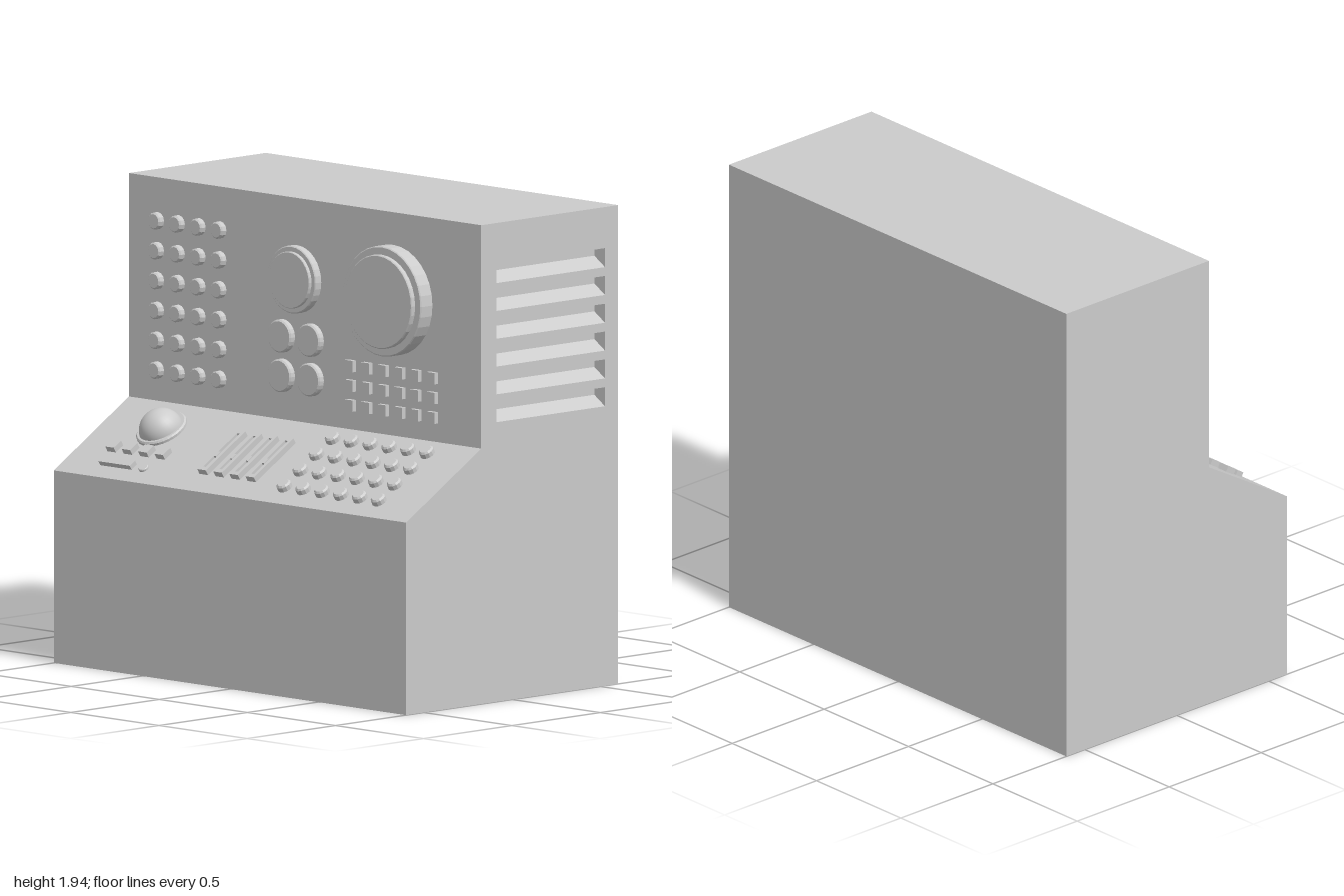
import * as THREE from 'three';
import { mergeGeometries } from 'three/addons/utils/BufferGeometryUtils.js';

const grey = new THREE.MeshStandardMaterial({ color: 0xcccccc, flatShading: true });
const smoothGrey = new THREE.MeshStandardMaterial({ color: 0xcccccc });

// Cabinet side outline as [z, y]
const PROFILE = [[0.6, 0], [0.6, 0.78], [0.175, 1.035], [0.175, 1.94], [-0.6, 1.94], [-0.6, 0]];
const FACE_Z = 0.175;
const SLOPE = Math.atan2(1.035 - 0.78, 0.6 - 0.175);
const deskY = z => 0.78 + (0.6 - z) * Math.tan(SLOPE);

// Flat faces, each a list of corners in counter-clockwise order
function facesGeometry(faces) {
  const pos = [];
  for (const f of faces)
    for (let i = 1; i < f.length - 1; i++) pos.push(...f[0], ...f[i], ...f[i + 1]);
  const g = new THREE.BufferGeometry();
  g.setAttribute('position', new THREE.Float32BufferAttribute(pos, 3));
  g.computeVertexNormals();
  return g;
}

const outline = (points, sign) => points.map(([z, y]) => new THREE.Vector2(sign * z, y));

function cabinetGeometry() {
  const faces = [];
  PROFILE.forEach(([z, y], i) => {
    const [z2, y2] = PROFILE[(i + 1) % PROFILE.length];
    faces.push([[-1, y, z], [1, y, z], [1, y2, z2], [-1, y2, z2]]);
  });

  // Vent slots: sloping floor, short back wall, flat ceiling
  const ventSide = new THREE.Shape(outline(PROFILE, -1));
  const zf = 0.09, zb = -0.525, inX = 0.94;
  for (let i = 0; i < 6; i++) {
    const y0 = 1.133 + i * 0.1127, ym = y0 + 0.04, y1 = y0 + 0.077;
    ventSide.holes.push(new THREE.Path(outline([[zf, y0], [zb, y0], [zb, y1], [zf, y1]], -1)));
    const section = [[1, y0], [inX, ym], [inX, y1], [1, y1]];
    for (let k = 0; k < 3; k++) {
      const a = section[k], b = section[k + 1];
      faces.push([[...a, zf], [...a, zb], [...b, zb], [...b, zf]]);
    }
    faces.push(section.map(p => [...p, zf]), section.map(p => [...p, zb]).reverse());
  }
  const left = new THREE.ShapeGeometry(ventSide).rotateY(Math.PI / 2).translate(1, 0, 0);
  const right = new THREE.ShapeGeometry(new THREE.Shape(outline(PROFILE, 1)))
    .rotateY(-Math.PI / 2).translate(-1, 0, 0);
  const parts = [left, right].map(g => g.toNonIndexed().deleteAttribute('uv'));
  return mergeGeometries([facesGeometry(faces), ...parts]);
}

// Turned disc standing on y = 0 with a bevelled top edge
function disc(r, h, bevel, sides) {
  const pts = [[r, 0], [r, h - bevel], [r - bevel, h], [0, h]];
  return new THREE.LatheGeometry(pts.map(p => new THREE.Vector2(...p)), sides);
}

const block = (w, h, d) => new THREE.BoxGeometry(w, h, d).translate(0, h / 2, 0);

// Slider plate with a long groove
function sliderFrame(w, l, h) {
  const rect = (C, a, b) => new C([[-a, -b], [a, -b], [a, b], [-a, b]].map(p => new THREE.Vector2(...p)));
  const s = rect(THREE.Shape, w / 2, l / 2);
  s.holes.push(rect(THREE.Path, 0.008, l / 2 - 0.02));
  return new THREE.ExtrudeGeometry(s, { depth: h, bevelEnabled: false }).rotateX(-Math.PI / 2);
}

export function createModel() {
  const model = new THREE.Group();
  const add = (name, geo, mat = grey) => {
    const m = new THREE.Mesh(geo, mat);
    m.name = name;
    model.add(m);
    return m;
  };
  // Mount on the upright panel or on the sloping desk; local y points outwards
  const onPanel = (name, geo, x, y, out = 0) => {
    const m = add(name, geo);
    m.position.set(x, y, FACE_Z + out);
    m.rotation.x = Math.PI / 2;
  };
  const onDesk = (name, geo, x, z, mat) => {
    const m = add(name, geo, mat);
    m.position.set(x, deskY(z), z);
    m.rotation.x = SLOPE;
  };

  add('cabinet', cabinetGeometry());

  // Upright panel: knobs in a 4 x 6 grid
  const panelKnob = disc(0.035, 0.027, 0.006, 12);
  for (let i = 0; i < 4; i++)
    for (let j = 0; j < 6; j++) onPanel('panelKnob', panelKnob, -0.835 + i * 0.118, 1.16 + j * 0.121);

  // Round displays: bezel with a raised screen
  onPanel('largeScreenBezel', disc(0.223, 0.065, 0.004, 32), 0.5, 1.585);
  onPanel('largeScreen', disc(0.19, 0.02, 0.004, 32), 0.5, 1.585, 0.065);
  onPanel('mediumScreenBezel', disc(0.137, 0.033, 0.004, 32), -0.045, 1.612);
  onPanel('mediumScreen', disc(0.115, 0.014, 0.003, 32), -0.045, 1.612, 0.033);
  const gauge = disc(0.067, 0.027, 0.006, 24);
  for (const x of [-0.124, 0.04])
    for (const y of [1.374, 1.214]) onPanel('gauge', gauge, x, y);

  // Square buttons in a 6 x 3 grid
  const panelButton = block(0.046, 0.02, 0.046);
  for (let i = 0; i < 6; i++)
    for (let j = 0; j < 3; j++) onPanel('panelButton', panelButton, 0.267 + i * 0.093, 1.134 + j * 0.08);

  // Desk: trackball with its collar
  onDesk('trackballCollar', disc(0.108, 0.016, 0.006, 32), -0.668, 0.318);
  onDesk('trackball', new THREE.SphereGeometry(0.092, 32, 20), -0.668, 0.32, smoothGrey);

  // Keys below the trackball
  const key = block(0.048, 0.024, 0.048);
  for (let i = 0; i < 4; i++) onDesk('deskKey', key, -0.807 + i * 0.093, 0.444);
  onDesk('barKey', block(0.177, 0.02, 0.036), -0.708, 0.524);
  onDesk('smallButton', disc(0.021, 0.01, 0.003, 16), -0.562, 0.526);

  // Sliders
  const frame = sliderFrame(0.048, 0.262, 0.024);
  const handle = block(0.012, 0.026, 0.03);
  for (let i = 0; i < 4; i++) {
    const x = -0.24 + i * 0.091;
    onDesk('sliderFrame', frame, x, 0.397);
    onDesk('sliderHandle', handle, x, 0.42);
  }

  // Round desk knobs in a 6 x 4 grid
  const deskKnob = disc(0.031, 0.027, 0.007, 12);
  for (let i = 0; i < 6; i++)
    for (let j = 0; j < 4; j++) onDesk('deskKnob', deskKnob, 0.23 + i * 0.107, 0.243 + j * 0.091);

  return model;
}
